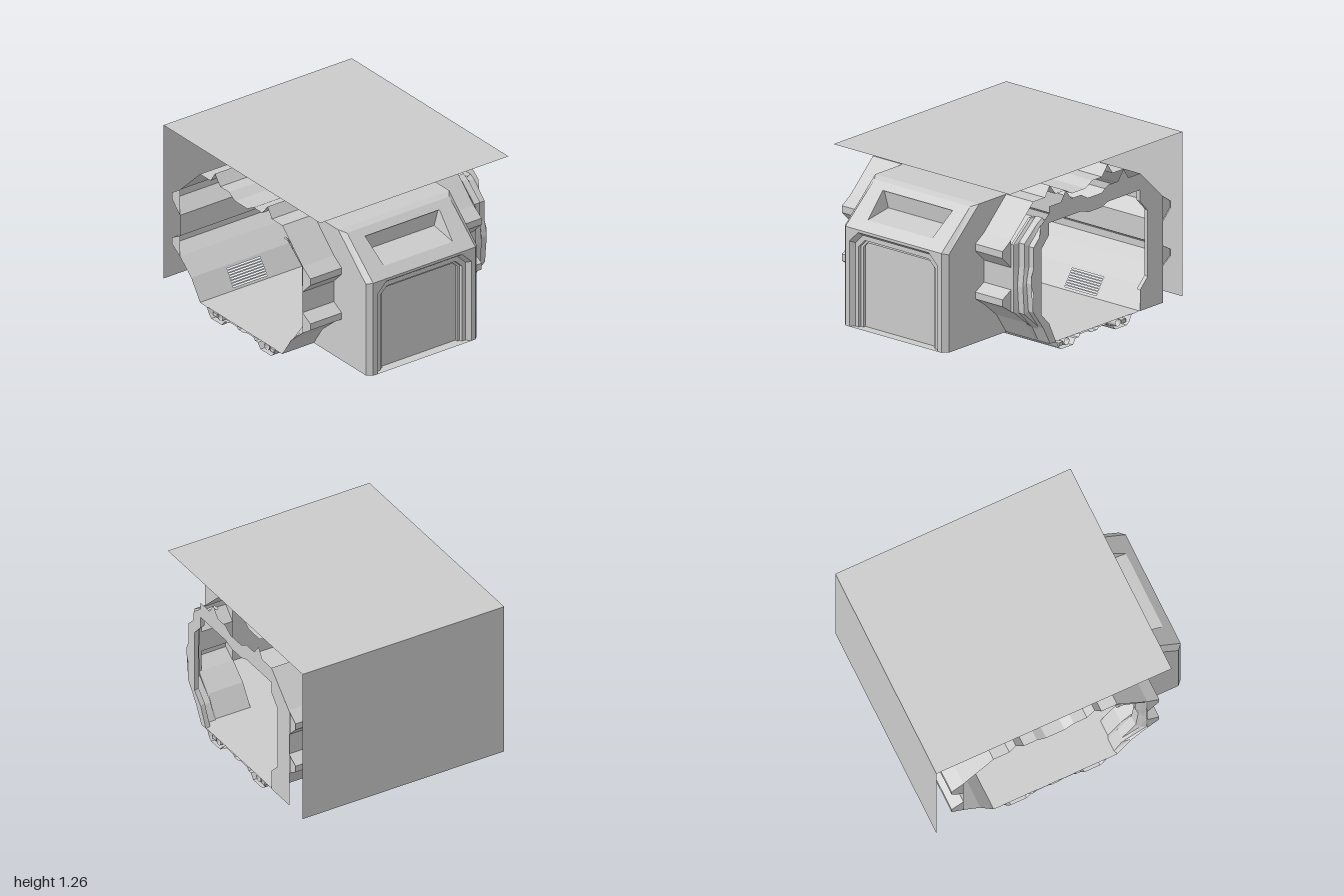
import * as THREE from 'three';

const material = new THREE.MeshStandardMaterial({ color: 0xcccccc, flatShading: true, side: THREE.DoubleSide });

// Surface through a series of matching cross-sections of [x, y, z] points
function loft(sections, closed = false) {
  const n = sections[0].length, index = [];
  for (let i = 0; i < sections.length - 1; i++) {
    for (let j = 0; j < (closed ? n : n - 1); j++) {
      const a = i * n + j, b = i * n + (j + 1) % n;
      index.push(a, b, b + n, a, b + n, a + n);
    }
  }
  const g = new THREE.BufferGeometry();
  g.setAttribute('position', new THREE.Float32BufferAttribute(sections.flat(2), 3));
  g.setIndex(index);
  g.computeVertexNormals();
  return g;
}

const section = (profile, x) => profile.map(([z, y]) => [x, y, z]);
const sweep = (profile, x0, x1) => loft([section(profile, x0), section(profile, x1)]);
const toPath = (pts, Type = THREE.Shape) => new Type(pts.map(p => new THREE.Vector2(...p)));

// Flat (x, y) outline with holes, whose depth z follows a rule of y
function panel(outline, holes, depth) {
  const shape = toPath(outline);
  holes.forEach(h => shape.holes.push(toPath(h, THREE.Path)));
  const g = new THREE.ShapeGeometry(shape), p = g.attributes.position;
  for (let i = 0; i < p.count; i++) p.setZ(i, depth(p.getY(i)));
  g.computeVertexNormals();
  return g;
}

// Flat (z, y) outline standing at a given x
function sideSheet(outline, x, hole) {
  const shape = toPath(outline.map(([z, y]) => [-z, y]));
  if (hole) shape.holes.push(toPath(hole.map(([z, y]) => [-z, y]), THREE.Path));
  return new THREE.ShapeGeometry(shape).rotateY(Math.PI / 2).translate(x, 0, 0);
}

const rect = (x0, y0, x1, y1) => [[x0, y0], [x1, y0], [x1, y1], [x0, y1]];
const mirrorZ = pts => pts.map(([z, y]) => [-0.2 - z, y]);

export function createModel() {
  const model = new THREE.Group();
  const add = (name, geometry, parent = model) => {
    const m = new THREE.Mesh(geometry, material);
    m.name = name;
    parent.add(m);
    return m;
  };
  const group = name => {
    const g = new THREE.Group();
    g.name = name;
    model.add(g);
    return g;
  };

  // Plain outer roof and back sheets
  add('roofSheet', new THREE.PlaneGeometry(1.62, 1.79).rotateX(-Math.PI / 2).translate(0, 1.265, -0.105));
  add('backSheet', new THREE.PlaneGeometry(1.62, 1.195).rotateY(Math.PI).translate(0, 0.6675, -1));

  // Corridor shell
  const corridor = group('corridor');
  const x0 = -0.82, x1 = 0.655, xEnd = 0.8;
  const upperBump = [[0.6, 0.85], [0.69, 0.79], [0.69, 0.74], [0.6, 0.65]];
  const lowerBump = [[0.6, 0.49], [0.69, 0.44], [0.69, 0.39], [0.6, 0.33]];
  const wall = [[0.37, 1.07], ...upperBump, ...lowerBump, [0.47, 0.22]];
  const frontWall = [...wall, [0.37, 0.07]];
  add('frontWallRight', sweep(frontWall, x0, -0.55), corridor);
  add('frontWallLeft', sweep(frontWall, 0.4, x1), corridor);
  add('backWall', sweep(mirrorZ(wall), x0, xEnd), corridor);
  for (const bump of [upperBump, lowerBump]) {
    for (const x of [x0, x1]) {
      add('bumperEnd', sideSheet(bump, x), corridor);
      add('bumperEnd', sideSheet(mirrorZ(bump), x === x1 ? xEnd - 0.01 : x), corridor);
    }
  }
  const halfCeiling = [[0.37, 1.07], [0.25, 1.07], [0.2, 1.145], [0.14, 1.07], [0.04, 1.07], [-0.03, 1.03]];
  const ceiling = [...halfCeiling, ...mirrorZ(halfCeiling).reverse()];
  add('ceiling', sweep(ceiling, x0, x1), corridor);

  // Sloping skirt of the back wall, cut by two slotted vents
  const slots = [];
  for (const cx of [0.245, -0.38])
    for (let i = 0; i < 8; i++) {
      const y = 0.086 + i * 0.0155;
      slots.push(rect(cx - 0.145, y, cx + 0.145, y + 0.008));
    }
  add('ventedSkirt', panel(rect(x0, 0.07, xEnd, 0.22), slots, y => -0.57 - (y - 0.07) * 2 / 3), corridor);

  // Floor deck and ridged underside
  const halfUnder = [[0.37, 0.07], [0.29, 0.065], [0.265, 0.02], [0.24, 0], [0.12, 0], [0.09, 0.04],
    [0.06, 0.04], [0.04, 0.06], [-0.05, 0.06], [-0.07, 0.045]];
  add('underside', sweep([...halfUnder, ...mirrorZ(halfUnder).reverse()], x0, 0.795), corridor);
  add('floorDeck', sweep([[0.37, 0.07], [-0.57, 0.07]], x0, 0.795), corridor);
  for (const s of [1, -1]) {
    const z = -0.1 + s * 0.265;
    add('floorPipe', new THREE.CylinderGeometry(0.027, 0.027, 1.58, 16, 1, true)
      .rotateZ(Math.PI / 2).translate(-0.01, 0.034, z), corridor);
    for (const x of [-0.78, 0.76])
      add('pipeBracket', new THREE.BoxGeometry(0.04, 0.025, 0.045).translate(x, 0.03, z + s * 0.06), corridor);
  }

  // End frame with a chamfered opening
  const frame = group('endFrame');
  const half = [[-0.04, 0.925], [0.04, 0.95], [0.37, 0.95], [0.37, 0.865], [0.45, 0.78], [0.45, 0.3], [0.37, 0.22]];
  const opening = [...half, [0.3, 0.07], [-0.57, 0.07], ...mirrorZ(half).reverse()];
  const frameOuter = [[0.36, 0.07], [0.43, 0.2], [0.535, 0.34], [0.535, 0.48], [0.555, 0.53], [0.555, 0.6],
    [0.53, 0.66], [0.53, 0.81], [0.47, 0.87], [0.46, 0.95], [0.37, 1.02]];
  const back = [[-0.57, 1.07], [-0.81, 0.84], [-0.81, 0.07], [-0.57, 0.07]];
  const frameOutline = [...frameOuter, ...ceiling.slice(0, -1), ...back, ...mirrorZ(half.slice(1)).reverse(),
    [-0.17, 0.925], ...half, [0.3, 0.07]];
  add('frameFace', sideSheet(frameOutline, xEnd), frame);
  const openEdge = opening.slice(9).concat(opening.slice(0, 8));
  add('openingLip', loft([section(openEdge, xEnd), section(openEdge.map(([z, y]) =>
    [-0.1 + (z + 0.1) * 1.025, y]), xEnd - 0.04)]), frame);

  // Stepped jambs at both ends of the front wall
  const jambA = [[0.37, 0.97], [0.42, 0.97], [0.6, 0.82], [0.6, 0.65], [0.6, 0.49], [0.6, 0.33], [0.47, 0.22], [0.37, 0.07]];
  const jambB = [[0.37, 0.975], [0.42, 0.95], [0.56, 0.83], [0.56, 0.66], [0.575, 0.52], [0.56, 0.32], [0.42, 0.18], [0.36, 0.07]];
  const jambC = [[0.37, 0.95], [0.41, 0.93], [0.53, 0.81], [0.53, 0.66], [0.555, 0.55], [0.535, 0.34], [0.43, 0.2], [0.36, 0.07]];
  add('frontJamb', loft([section(jambA, x1), section(jambA, 0.675), section(jambB, 0.69), section(jambB, 0.74),
    section(jambC, 0.755), section(jambC, xEnd)]), frame);
  add('innerJamb', loft([section(jambA, -0.81), section(jambB, -0.79), section(jambC, -0.77),
    section(jambC, -0.7), section(jambA, -0.67)]), corridor);

  // Vestibule body: side walls, bevelled edges, roof and floor
  const porch = group('vestibule');
  const cx = -0.0725, hw = 0.4775, hf = 0.44;
  const sideEdge = [[0.965, 0.07], [0.965, 0.78], [0.65, 1.07], [0.37, 1.07]];
  const midEdge = [[1, 0.07], [1, 0.79], [0.7, 1.055], [0.65, 1.07]];
  const contact = [[0.37, 1.07], [0.6, 0.85], [0.6, 0.33], [0.47, 0.22], [0.37, 0.07]];
  for (const s of [-1, 1]) {
    add('sideWall', sideSheet([...sideEdge, ...contact.slice(1)], cx + s * hw), porch);
    add('edgeBevel', loft([section(sideEdge.slice(0, 3), cx + s * hw), section(midEdge.slice(0, 3), cx + s * hf)]), porch);
  }
  add('vestibuleRoof', sweep([[0.37, 1.07], [0.65, 1.07]], cx - hw, cx + hw), porch);
  add('roofBevel', loft([
    [[cx - hw, 1.07, 0.65], [cx + hw, 1.07, 0.65]],
    [[cx - hf, 1.055, 0.7], [cx + hf, 1.055, 0.7]]]), porch);
  add('vestibuleFloor', loft([
    [[cx - hw, 0.07, 0.37], [cx + hw, 0.07, 0.37]],
    [[cx - hw, 0.07, 0.965], [cx + hw, 0.07, 0.965]],
    [[cx - hf, 0.07, 1], [cx + hf, 0.07, 1]]]), porch);

  // Door surround: chamfered arches stepping inward to the door
  const arch = (h, top, c) => [[cx - h, 0.07], [cx - h, top - c], [cx - h + c, top],
    [cx + h - c, top], [cx + h, top - c], [cx + h, 0.07]];
  const at = (pts, z) => pts.map(([x, y]) => [x, y, z]);
  const outer = arch(0.405, 0.77, 0.08), inner = arch(0.323, 0.69, 0.035);
  const frontFace = [[cx - hf, 0.07], [cx - hf, 0.79], [cx + hf, 0.79], [cx + hf, 0.07], ...[...outer].reverse()];
  add('frontFace', panel(frontFace, [], () => 1), porch);
  add('doorSurround', loft([at(outer, 1), at(arch(0.38, 0.745, 0.07), 0.965), at(arch(0.35, 0.71, 0.055), 0.965),
    at(arch(0.345, 0.705, 0.05), 0.945), at(inner, 0.945), at(inner, 0.925)]), porch);
  add('door', panel(inner, [], () => 0.925), porch);

  // Sloped panel with a recessed window
  const slope = y => 1 - (y - 0.79) * 0.3 / 0.265;
  const win = [[cx - 0.295, 0.85], [cx + 0.295, 0.85], [cx + 0.32, 1.012], [cx - 0.32, 1.012]];
  add('slopedPanel', panel(rect(cx - hf, 0.79, cx + hf, 1.055), [win], slope), porch);
  const rim = win.map(([x, y]) => [x, y, slope(y)]);
  const bottom = win.map(([x, y], i) => [x, i < 2 ? 0.885 : y, i < 2 ? 0.72 : 0.735]);
  add('windowRecess', loft([rim, bottom], true), porch);
  add('windowBack', loft([[bottom[0], bottom[1]], [bottom[3], bottom[2]]]), porch);

  return model;
}
